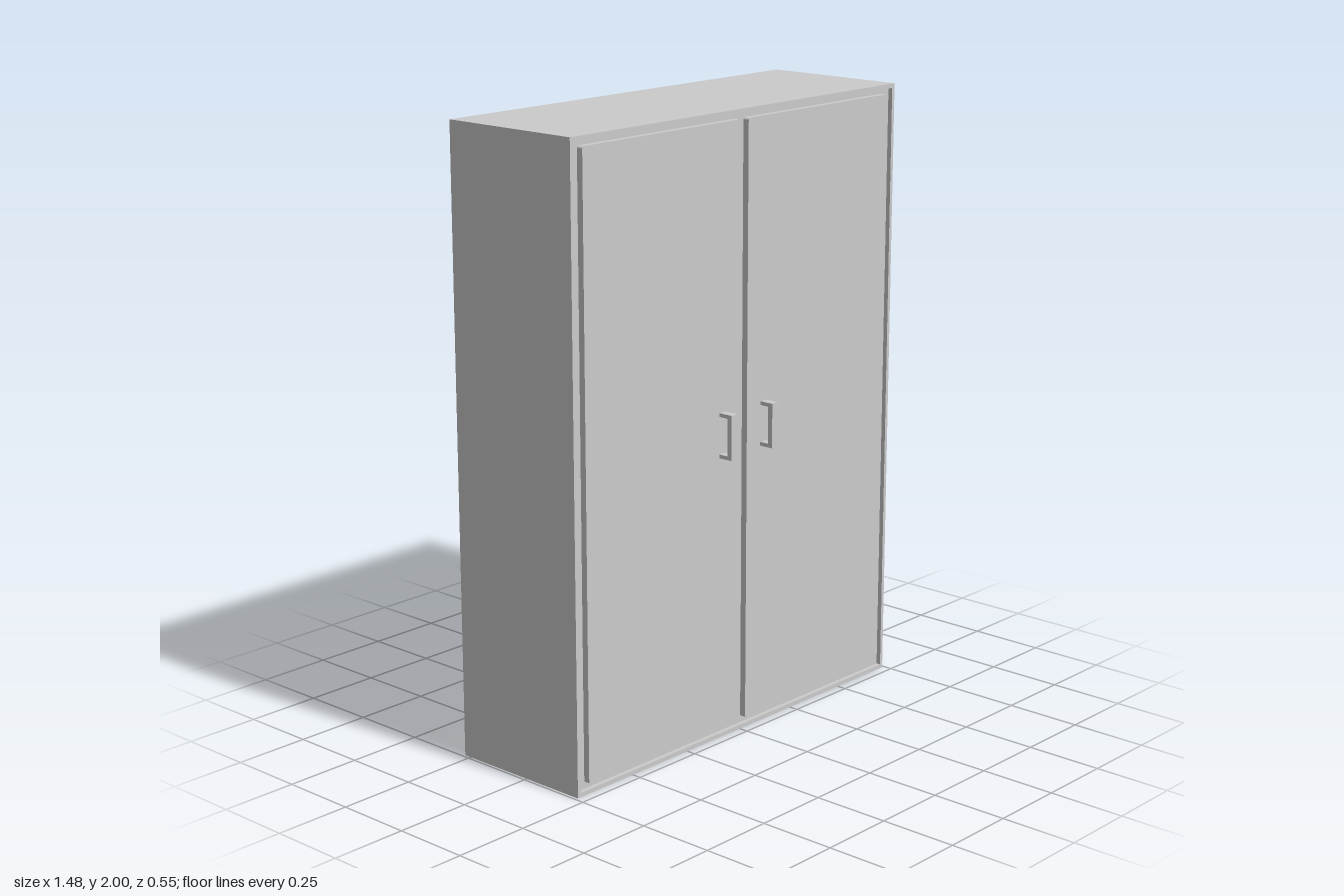
import * as THREE from 'three';

const material = new THREE.MeshStandardMaterial({ color: 0xcccccc, flatShading: true });

function part(name, geometry) {
  const mesh = new THREE.Mesh(geometry, material);
  mesh.name = name;
  return mesh;
}

// Skin through rectangular sections [halfWidth, halfHeight, z], from back to front
function loftRectangles(sections, centreY) {
  const points = [], index = [];
  for (const [w, h, z] of sections) {
    points.push(-w, centreY - h, z, w, centreY - h, z, w, centreY + h, z, -w, centreY + h, z);
  }
  for (let s = 0; s < sections.length - 1; s++) {
    for (let i = 0; i < 4; i++) {
      const a = s * 4 + i, b = s * 4 + (i + 1) % 4;
      index.push(a, b, b + 4, a, b + 4, a + 4);
    }
  }
  const last = (sections.length - 1) * 4;
  index.push(0, 2, 1, 0, 3, 2, last, last + 1, last + 2, last, last + 2, last + 3);
  const geometry = new THREE.BufferGeometry();
  geometry.setAttribute('position', new THREE.Float32BufferAttribute(points, 3));
  geometry.setIndex(index);
  const flat = geometry.toNonIndexed();
  flat.computeVertexNormals();
  return flat;
}

// Door panel with slightly rounded corners
function doorGeometry(w, h, r, depth) {
  const x = w / 2 - r, y = h / 2 - r;
  const shape = new THREE.Shape();
  shape.absarc(x, y, r, 0, Math.PI / 2);
  shape.absarc(-x, y, r, Math.PI / 2, Math.PI);
  shape.absarc(-x, -y, r, Math.PI, Math.PI * 1.5);
  shape.absarc(x, -y, r, Math.PI * 1.5, Math.PI * 2);
  return new THREE.ExtrudeGeometry(shape, { depth, bevelEnabled: false, curveSegments: 3 });
}

// C-shaped pull handle: profile of reach and height, extruded across its width
function handleGeometry(width, height, reach, bar, foot) {
  const h = height / 2;
  const shape = new THREE.Shape([
    [0, -h], [reach, -h], [reach, h], [0, h],
    [0, h - foot], [reach - bar, h - foot], [reach - bar, foot - h], [0, foot - h],
  ].map(([x, y]) => new THREE.Vector2(x, y)));
  const geometry = new THREE.ExtrudeGeometry(shape, { depth: width, bevelEnabled: false });
  geometry.translate(0, 0, -width / 2);
  geometry.rotateY(-Math.PI / 2);
  return geometry;
}

export function createModel() {
  const group = new THREE.Group();
  group.name = 'cabinet';

  // Carcass with a thin front rim around a shallow recess
  group.add(part('carcass', loftRectangles([
    [0.74, 1, -0.275],
    [0.74, 1, 0.22],
    [0.728, 0.986, 0.22],
    [0.728, 0.986, 0.205],
  ], 1)));

  // Pair of doors, each with a handle near the middle
  for (const [side, sign] of [['left', 1], ['right', -1]]) {
    const door = part(side + 'Door', doorGeometry(0.679, 1.936, 0.008, 0.021));
    door.position.set(sign * 0.3575, 1.002, 0.205);
    const handle = part(side + 'Handle', handleGeometry(0.028, 0.144, 0.05, 0.017, 0.012));
    handle.position.set(sign * 0.096, 1.002, 0.225);
    group.add(door, handle);
  }
  return group;
}
